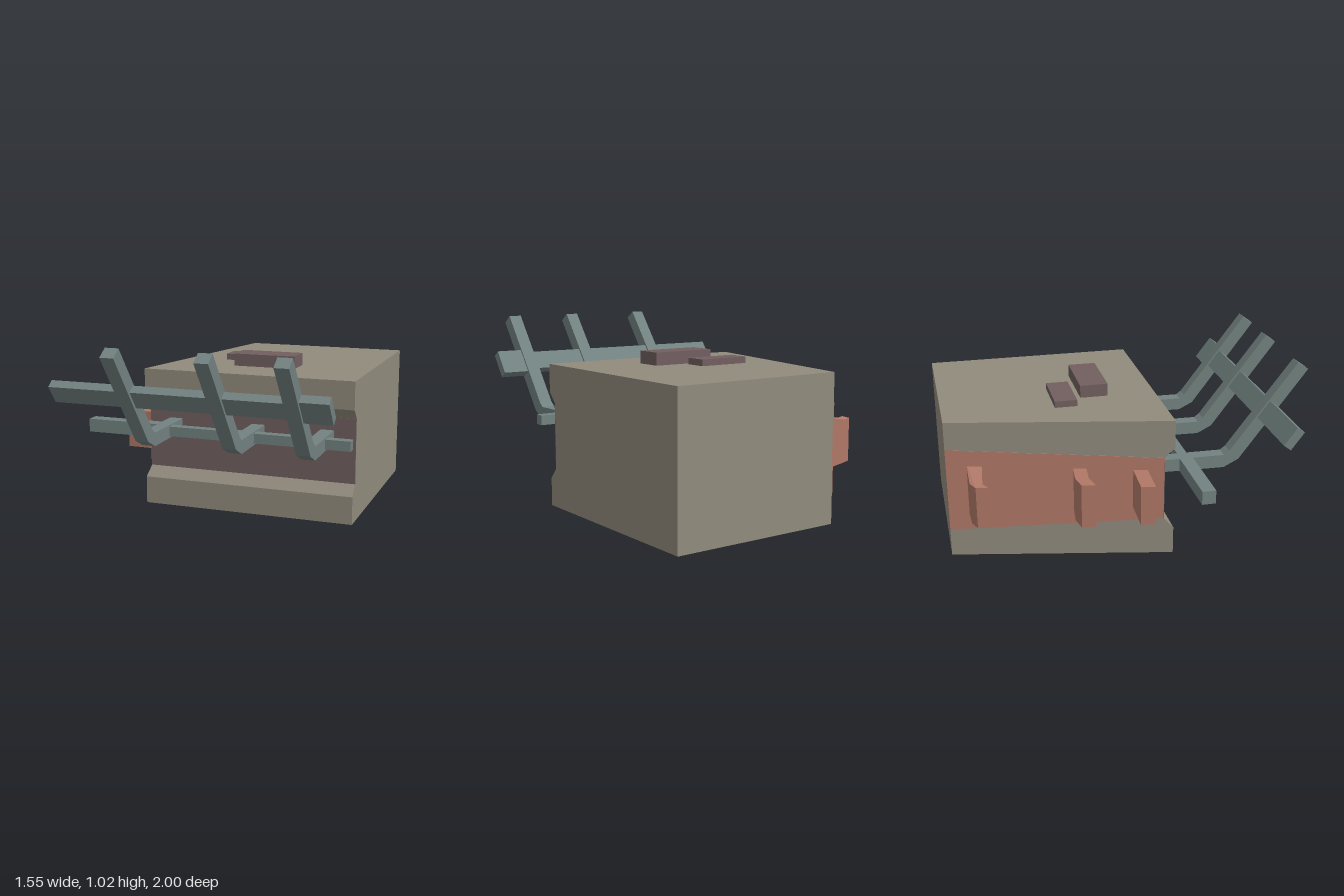
import * as THREE from 'three';

const mat = (name, color) => {
  const m = new THREE.MeshStandardMaterial({ color });
  m.name = name;
  return m;
};

const shapeOf = (pts) => new THREE.Shape(pts.map(([a, b]) => new THREE.Vector2(a, b)));

// Side profile given as [z, y], extruded along x from x0 to x1
function profileGeo(pts, x0, x1) {
  const g = new THREE.ExtrudeGeometry(shapeOf(pts.map(([z, y]) => [-z, y])), { depth: x1 - x0, bevelEnabled: false });
  return g.rotateY(Math.PI / 2).translate(x0, 0, 0);
}

// Plan outline given as [x, z], extruded upwards from y0 to y1
function planGeo(pts, y0, y1) {
  const g = new THREE.ExtrudeGeometry(shapeOf(pts.map(([x, z]) => [x, -z])), { depth: y1 - y0, bevelEnabled: false });
  return g.rotateX(-Math.PI / 2).translate(0, y0, 0);
}

// Move vertices by a rule and refresh the flat normals
function warp(g, rule) {
  const p = g.attributes.position;
  const v = new THREE.Vector3();
  for (let i = 0; i < p.count; i++) {
    v.fromBufferAttribute(p, i);
    rule(v);
    p.setXYZ(i, v.x, v.y, v.z);
  }
  g.computeVertexNormals();
  return g;
}

// Box between two corners
function boxGeo([x0, y0, z0], [x1, y1, z1]) {
  return new THREE.BoxGeometry(x1 - x0, y1 - y0, z1 - z0)
    .translate((x0 + x1) / 2, (y0 + y1) / 2, (z0 + z1) / 2);
}

export function createModel() {
  const model = new THREE.Group();
  model.name = 'railedBlock';
  const stone = mat('stone', 0x918b7d);
  const mauve = mat('mauve', 0x725f60);
  const steel = mat('steel', 0x728280);
  const rust = mat('rust', 0xb07867);

  const add = (name, geo, material) => {
    const m = new THREE.Mesh(geo, material);
    m.name = name;
    model.add(m);
    return m;
  };

  // Slanted side of the body: x depends on z
  const right = 0.745;
  const slantX = (z) => -0.487 + (0.21 - z) * (0.247 / 1.21);

  // Body with a chamfered groove across the front
  const body = profileGeo([
    [-1, 0], [0.21, 0], [0.21, 0.157], [0.155, 0.217],
    [0.155, 0.583], [0.21, 0.64], [0.21, 0.797], [-1, 0.797],
  ], 0, right);
  add('body', warp(body, (v) => { if (v.x < 0.01) v.x = slantX(v.z); }), stone);

  // Coloured panels in the groove and on the slanted side
  add('groovePanel', boxGeo([slantX(0.155), 0.217, 0.152], [right, 0.583, 0.158]), mauve);
  const band = profileGeo([[-1, 0.16], [0.155, 0.217], [0.155, 0.583], [-1, 0.64]], -0.003, 0.004);
  add('sidePanel', warp(band, (v) => { v.x += slantX(v.z); }), rust);

  // Plates on the roof
  add('roofPlateLow', boxGeo([-0.16, 0.79, -0.385], [0.14, 0.833, -0.26]), mauve);
  add('roofPlateHigh', boxGeo([-0.04, 0.79, -0.22], [0.325, 0.868, -0.063]), mauve);

  // Bent posts reaching out from the groove
  const bend = [
    [0.15, 0.438], [0.535, 0.432], [0.62, 0.475], [1, 0.98],
    [0.94, 1.022], [0.565, 0.53], [0.535, 0.507], [0.15, 0.51],
  ];
  for (const x of [-0.315, 0.184, 0.583]) {
    add('post', profileGeo(bend, x - 0.038, x + 0.038), steel);
  }

  // Lower rail, thicker at one end
  add('lowerRailEnd', boxGeo([-0.775, 0.435, 0.277], [-0.34, 0.51, 0.352]), steel);
  add('lowerRail', boxGeo([-0.34, 0.445, 0.288], [0.76, 0.5, 0.343]), steel);

  // Upper rail, tilted with the posts and wider at the other end
  const upperRail = (name, x0, x1, wide, thick) => {
    const m = add(name, new THREE.BoxGeometry(x1 - x0, wide, thick), steel);
    m.position.set((x0 + x1) / 2, 0.748, 0.775);
    m.rotation.x = 0.6435;
  };
  upperRail('upperRail', -0.75, 0.58, 0.117, 0.05);
  upperRail('upperRailEnd', 0.58, 0.772, 0.15, 0.052);

  // Bent tabs on the slanted side
  const rearTab = planGeo([
    [-0.22, -0.89], [-0.43, -0.89], [-0.49, -0.865],
    [-0.503, -0.8], [-0.45, -0.825], [-0.22, -0.805],
  ], 0.25, 0.55);
  add('rearTab', warp(rearTab, (v) => {
    if (v.x < -0.4) v.y = v.y < 0.4 ? 0.285 : 0.52;
  }), rust);
  add('middleTab', planGeo([
    [-0.35, -0.325], [-0.5, -0.342], [-0.59, -0.325],
    [-0.605, -0.25], [-0.51, -0.27], [-0.35, -0.255],
  ], 0.275, 0.525), rust);
  add('frontTab', planGeo([
    [-0.42, -0.01], [-0.655, -0.02], [-0.67, 0.057], [-0.42, 0.067],
  ], 0.29, 0.512), rust);

  return model;
}
